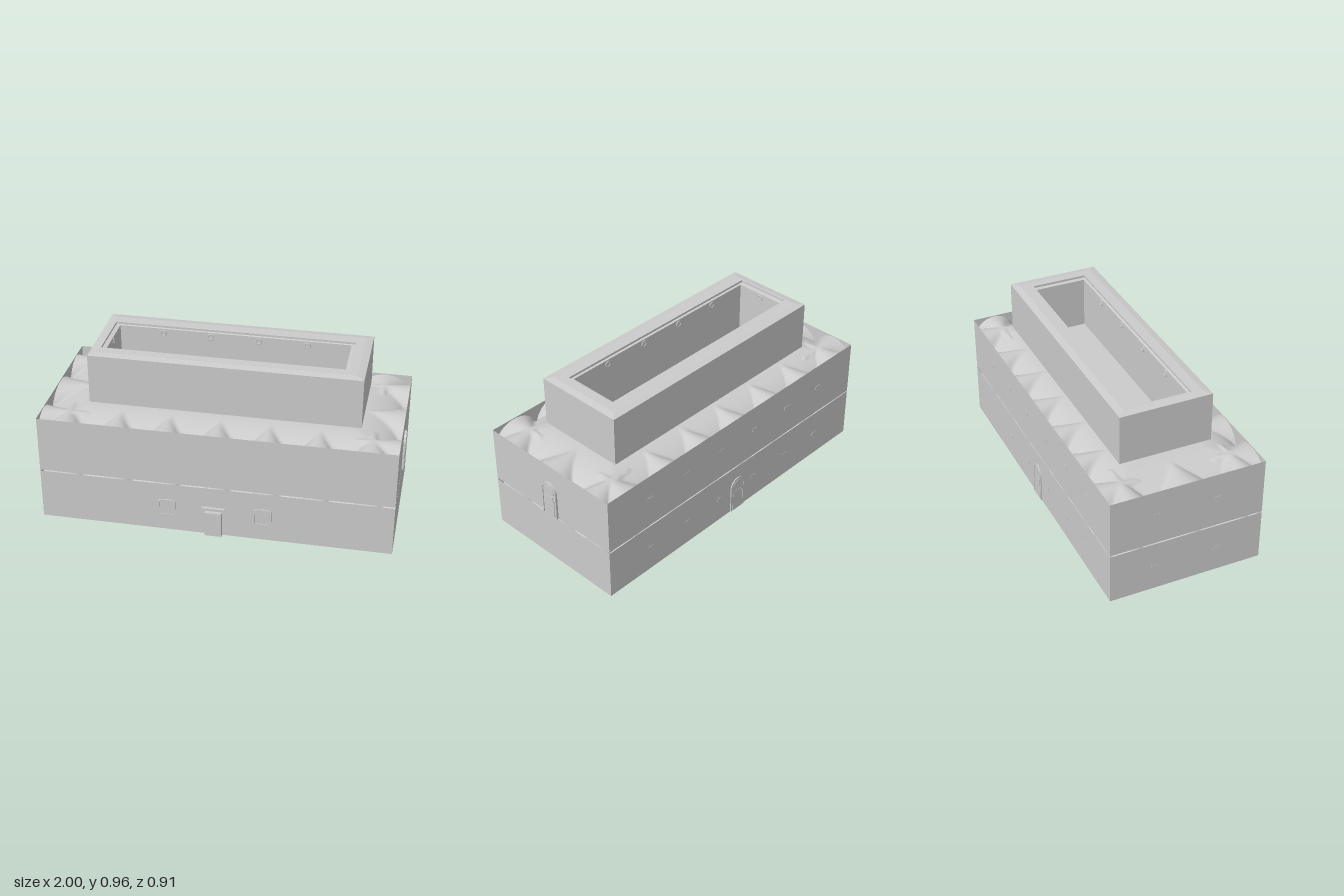
import * as THREE from 'three';

const grey = new THREE.MeshStandardMaterial({ color: 0xcccccc, side: THREE.DoubleSide });
const X0 = -1, X1 = 0.985, Z0 = -0.448, Z1 = 0.437;        // outer walls
const MX0 = -0.71, MX1 = 0.7, MZ0 = -0.2, MZ1 = 0.185;     // flat middle of the vaults
const baysX = [X0, -0.7, -0.425, -0.145, 0.135, 0.41, 0.685, X1];
const baysZ = [Z0, -0.19, 0.17, Z1];

function add(parent, geometry, name, x = 0, y = 0, z = 0) {
  const mesh = new THREE.Mesh(geometry, grey);
  mesh.name = name;
  mesh.position.set(x, y, z);
  parent.add(mesh);
  return mesh;
}

function box(parent, name, x0, x1, y0, y1, z0, z1) {
  return add(parent, new THREE.BoxGeometry(x1 - x0, y1 - y0, z1 - z0), name,
    (x0 + x1) / 2, (y0 + y1) / 2, (z0 + z1) / 2);
}

// Rectangular rings [x0, x1, z0, z1, y] joined in order, with an optional cap on the last
function loft(rings, cap) {
  const loops = rings.map(([x0, x1, z0, z1, y]) =>
    [[x0, y, z1], [x1, y, z1], [x1, y, z0], [x0, y, z0]]);
  const pos = [];
  const quad = (a, b, c, d) => pos.push(...a, ...b, ...c, ...a, ...c, ...d);
  for (let i = 0; i + 1 < loops.length; i++) {
    for (let k = 0; k < 4; k++) {
      const n = (k + 1) % 4;
      quad(loops[i][k], loops[i][n], loops[i + 1][n], loops[i + 1][k]);
    }
  }
  if (cap) quad(...loops[loops.length - 1]);
  const g = new THREE.BufferGeometry();
  g.setAttribute('position', new THREE.Float32BufferAttribute(pos, 3));
  g.computeVertexNormals();
  return g;
}

// Height (0..1) of the wall arch at v, narrowing to nothing at depth t = 1
function lunette(bays, v, t) {
  if (t >= 1) return 0;
  let i = 0;
  while (i < bays.length - 2 && v > bays[i + 1]) i++;
  const r = (bays[i + 1] - bays[i]) / 2;
  const u = (v - bays[i] - r) / (r * (1 - t));
  return Math.abs(u) < 1 ? 0.97 * Math.sqrt(1 - u * u) : 0;
}

// Coved vault with a flat middle, cut by lunettes along all four walls
function vault(spring, top) {
  const g = new THREE.PlaneGeometry(X1 - X0, Z1 - Z0, 150, 76);
  g.rotateX(-Math.PI / 2);
  g.translate((X0 + X1) / 2, 0, (Z0 + Z1) / 2);
  const p = g.attributes.position;
  for (let i = 0; i < p.count; i++) {
    const x = p.getX(i), z = p.getZ(i);
    const tx = Math.max(0, Math.min((x - X0) / (MX0 - X0), (X1 - x) / (X1 - MX1), 1));
    const tz = Math.max(0, Math.min((z - Z0) / (MZ0 - Z0), (Z1 - z) / (Z1 - MZ1), 1));
    const t = Math.min(tx, tz);
    const cove = Math.sqrt(1 - (1 - t) ** 2);
    const h = Math.max(cove, lunette(baysX, x, tz), lunette(baysZ, z, tx));
    p.setY(i, spring + (top - spring) * h);
  }
  g.computeVertexNormals();
  return g;
}

// One storey: four walls on a floor, vault, and the small corbels under its arches
function storey(name, y0, y1) {
  const s = new THREE.Group();
  s.name = name;
  const spring = y1 - 0.14;
  add(s, loft([[X0, X1, Z0, Z1, y1], [X0, X1, Z0, Z1, y0]].reverse(), false), 'walls');
  const floor = new THREE.PlaneGeometry(X1 - X0, Z1 - Z0).rotateX(Math.PI / 2);
  add(s, floor, 'floor', (X0 + X1) / 2, y0, (Z0 + Z1) / 2);
  add(s, vault(spring, y1 - 0.001), 'vault');
  const e = 0.0015;
  for (const x of baysX.slice(1, -1)) {
    box(s, 'corbel', x - 0.022, x + 0.022, spring - 0.02, spring, Z0 - e, Z0 + 0.01);
  }
  for (const z of baysZ.slice(1, -1)) {
    box(s, 'corbel', X0 - e, X0 + 0.01, spring - 0.02, spring, z - 0.02, z + 0.02);
  }
  return s;
}

// Outline of half-width w and total height h, with an elliptical head of given rise
function archShape(w, h, rise) {
  const s = new THREE.Shape();
  s.moveTo(-w, 0);
  s.lineTo(w, 0);
  s.lineTo(w, h - rise);
  s.absellipse(0, h - rise, w, rise, 0, Math.PI, false);
  s.closePath();
  return s;
}

function slab(shape, depth) {
  return new THREE.ExtrudeGeometry(shape, { depth, bevelEnabled: false, curveSegments: 16 });
}

// Round-headed doorway with leaf and fanlight, facing +z
function archedDoor(name, depth) {
  const d = new THREE.Group();
  d.name = name;
  const frame = archShape(0.055, 0.218, 0.055);
  frame.holes.push(archShape(0.046, 0.206, 0.046));
  add(d, slab(frame, depth), 'doorFrame');
  add(d, slab(archShape(0.048, 0.208, 0.048), depth * 0.6), 'doorRecess');
  add(d, slab(archShape(0.037, 0.118, 0.0001), depth * 0.9), 'doorLeaf');
  box(d, 'doorLeafTop', -0.03, 0.03, 0.118, 0.134, 0, depth * 0.9);
  add(d, slab(archShape(0.037, 0.048, 0.037), depth * 0.9), 'fanlight', 0, 0.152);
  return d;
}

export function createModel() {
  const model = new THREE.Group();
  model.name = 'vaultedBuilding';

  // Two storeys, with the raised ceiling panel between them
  model.add(storey('lowerStorey', 0, 0.298), storey('upperStorey', 0.306, 0.635));
  box(model, 'ceilingPanel', -0.72, 0.71, 0.296, 0.306, -0.2, 0.187);

  // Neck and the hollow attic above
  const neck = [-0.705, 0.69, -0.198, 0.183];
  const outer = [-0.747, 0.765, -0.28, 0.249];
  const mouth = [-0.695, 0.675, -0.172, 0.15];
  const shaft = [-0.67, 0.652, -0.164, 0.137];
  add(model, loft([[...neck, 0.62], [...neck, 0.666]]), 'neck');
  add(model, loft([
    [...neck, 0.666], [...outer, 0.666], [...outer, 0.953],
    [-0.707, 0.725, -0.24, 0.209, 0.96], [...mouth, 0.96], [...mouth, 0.948],
    [...shaft, 0.945], [...shaft, 0.645],
  ], true), 'attic');

  // Round openings inside the attic
  const oculus = (x, z, turn) => {
    const o = new THREE.Group();
    o.name = 'oculus';
    add(o, new THREE.TorusGeometry(0.016, 0.004, 8, 20), 'oculusRim');
    add(o, new THREE.CircleGeometry(0.016, 20), 'oculusPane', 0, 0, 0.001);
    o.position.set(x, 0.918, z);
    o.rotation.y = turn;
    model.add(o);
  };
  for (const x of [-0.42, -0.145, 0.13, 0.405]) {
    oculus(x, shaft[2], 0);
    oculus(x, shaft[3], Math.PI);
  }
  oculus(shaft[0], -0.012, Math.PI / 2);

  // Front doorway and its lintel
  const door = new THREE.Group();
  door.name = 'frontDoor';
  box(door, 'doorBlock', -0.057, 0.037, 0, 0.15, Z1, 0.457);
  box(door, 'doorPanel', -0.05, 0.03, 0, 0.14, Z1, 0.459);
  box(door, 'lintel', -0.075, 0.055, 0.168, 0.178, Z1, 0.455);
  for (const x of [-0.075, 0.049]) box(door, 'lintelBracket', x, x + 0.006, 0.13, 0.168, Z1, 0.444);
  model.add(door);

  // Front windows
  for (const x of [-0.275, 0.265]) {
    const win = new THREE.Group();
    win.name = 'frontWindow';
    const frame = archShape(0.052, 0.102, 0.016);
    const hole = archShape(0.042, 0.08, 0.008);
    hole.getPoints();
    frame.holes.push(new THREE.Path(hole.getPoints(12).map(p => p.add(new THREE.Vector2(0, 0.008)))));
    add(win, slab(frame, 0.008), 'windowFrame');
    add(win, slab(archShape(0.046, 0.094, 0.012), 0.005), 'windowPane');
    win.position.set(x, 0.098, Z1);
    model.add(win);
  }

  // Round-headed doors: back of the lower storey, left side of the upper
  const back = archedDoor('backDoor', 0.006);
  back.position.set(-0.01, 0, Z0);
  back.rotation.y = Math.PI;
  const side = archedDoor('sideDoor', 0.012);
  side.position.set(X1, 0.306, -0.006);
  side.rotation.y = Math.PI / 2;
  model.add(back, side);

  return model;
}
